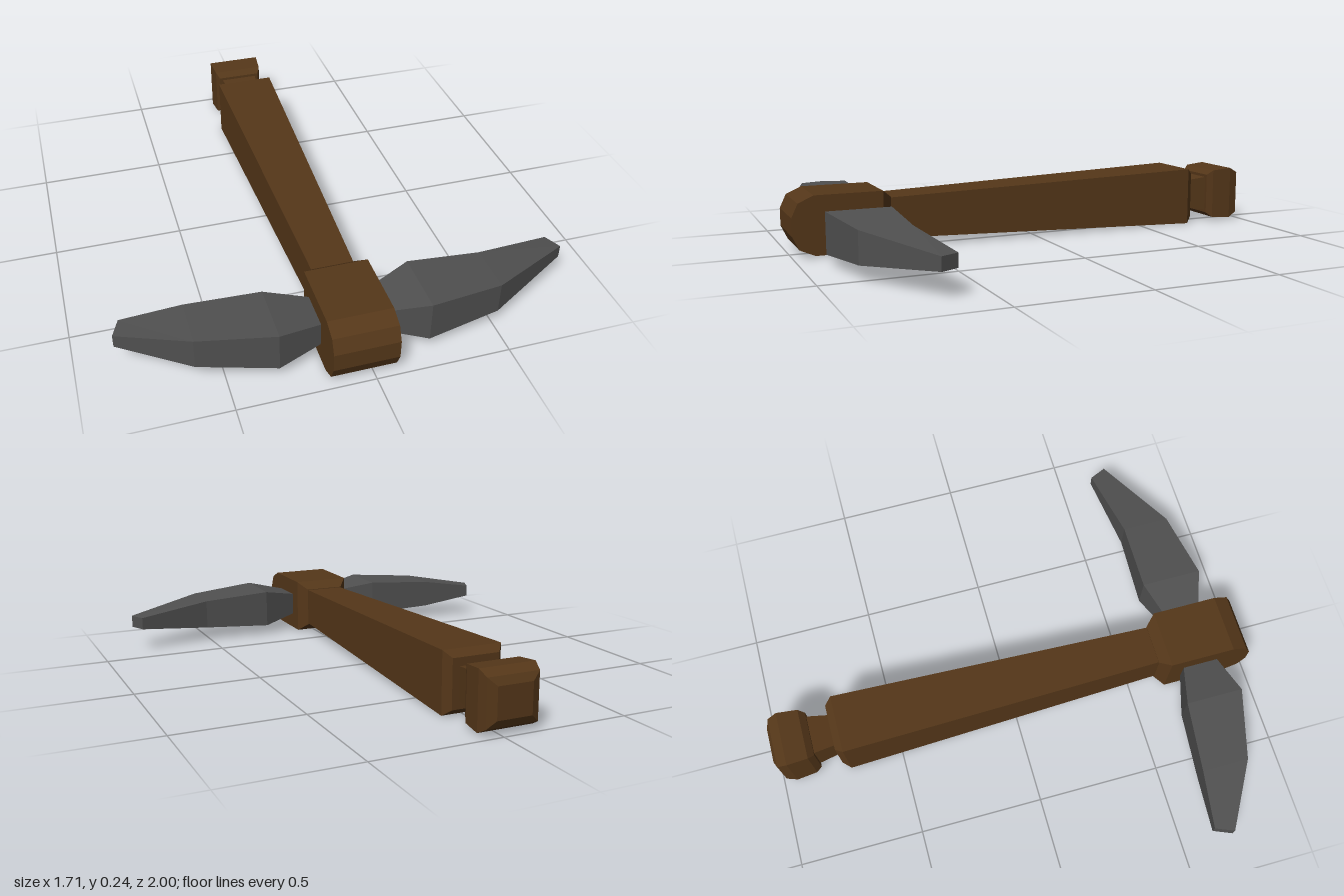
import * as THREE from 'three';

const CX = -0.04, CY = 0.125; // axis of the handle

// Skins a row of four-cornered rings (corners counter-clockwise seen from the last ring's end).
function loft(rings, material, name) {
  const pos = [];
  const quad = (a, b, c, d) => [a, b, c, a, c, d].forEach(p => pos.push(...p));
  for (let r = 0; r < rings.length - 1; r++) {
    const a = rings[r], b = rings[r + 1];
    for (let i = 0; i < 4; i++) {
      const j = (i + 1) % 4;
      quad(a[i], a[j], b[j], b[i]);
    }
  }
  quad(...[...rings[0]].reverse());
  quad(...rings[rings.length - 1]);
  const geometry = new THREE.BufferGeometry();
  geometry.setAttribute('position', new THREE.Float32BufferAttribute(pos, 3));
  geometry.computeVertexNormals();
  const mesh = new THREE.Mesh(geometry, material);
  mesh.name = name;
  return mesh;
}

// Wooden section across z: [z, half width, half height]
const woodRing = ([z, w, h]) => [
  [CX + w, CY - h, z], [CX + w, CY + h, z], [CX - w, CY + h, z], [CX - w, CY - h, z],
];

// Blade section: [back x, back z, front x, front z, half height]
const bladeRing = ([xb, zb, xf, zf, h]) => [
  [xb, CY - h, zb], [xb, CY + h, zb], [xf, CY + h, zf], [xf, CY - h, zf],
];

export function createModel() {
  const group = new THREE.Group();
  group.name = 'pickaxe';
  const wood = new THREE.MeshStandardMaterial({ color: 0x553719, flatShading: true });
  const metal = new THREE.MeshStandardMaterial({ color: 0x505050, flatShading: true });

  const woodParts = {
    // knob at the rear end
    pommel: [
      [-1, 0.07, 0.06], [-0.985, 0.103, 0.09], [-0.945, 0.112, 0.112],
      [-0.86, 0.105, 0.105], [-0.835, 0.092, 0.085],
    ],
    // narrow groove between pommel and shaft
    neck: [[-0.84, 0.08, 0.074], [-0.745, 0.065, 0.062]],
    // tapering shaft
    shaft: [[-0.75, 0.095, 0.095], [-0.72, 0.12, 0.12], [0.62, 0.08, 0.08]],
    // block that holds the blades, rounded at the front
    headBlock: [
      [0.61, 0.083, 0.083], [0.65, 0.12, 0.115], [0.915, 0.12, 0.115],
      [0.975, 0.12, 0.088], [1, 0.12, 0.035],
    ],
  };
  for (const [name, rows] of Object.entries(woodParts)) {
    group.add(loft(rows.map(woodRing), wood, name));
  }

  // blades, each listed in order of growing x
  const rightBlade = [
    [-0.825, 0.615, -0.855, 0.688, 0.025],
    [-0.6, 0.638, -0.6, 0.827, 0.06],
    [-0.32, 0.667, -0.32, 0.9, 0.075],
    [-0.15, 0.713, -0.15, 0.853, 0.045],
  ];
  const leftBlade = [
    [0.07, 0.715, 0.07, 0.855, 0.045],
    [0.23, 0.66, 0.23, 0.907, 0.079],
    [0.515, 0.667, 0.515, 0.86, 0.061],
    [0.82, 0.615, 0.85, 0.682, 0.025],
  ];
  group.add(loft(rightBlade.map(bladeRing), metal, 'rightBlade'));
  group.add(loft(leftBlade.map(bladeRing), metal, 'leftBlade'));
  return group;
}
